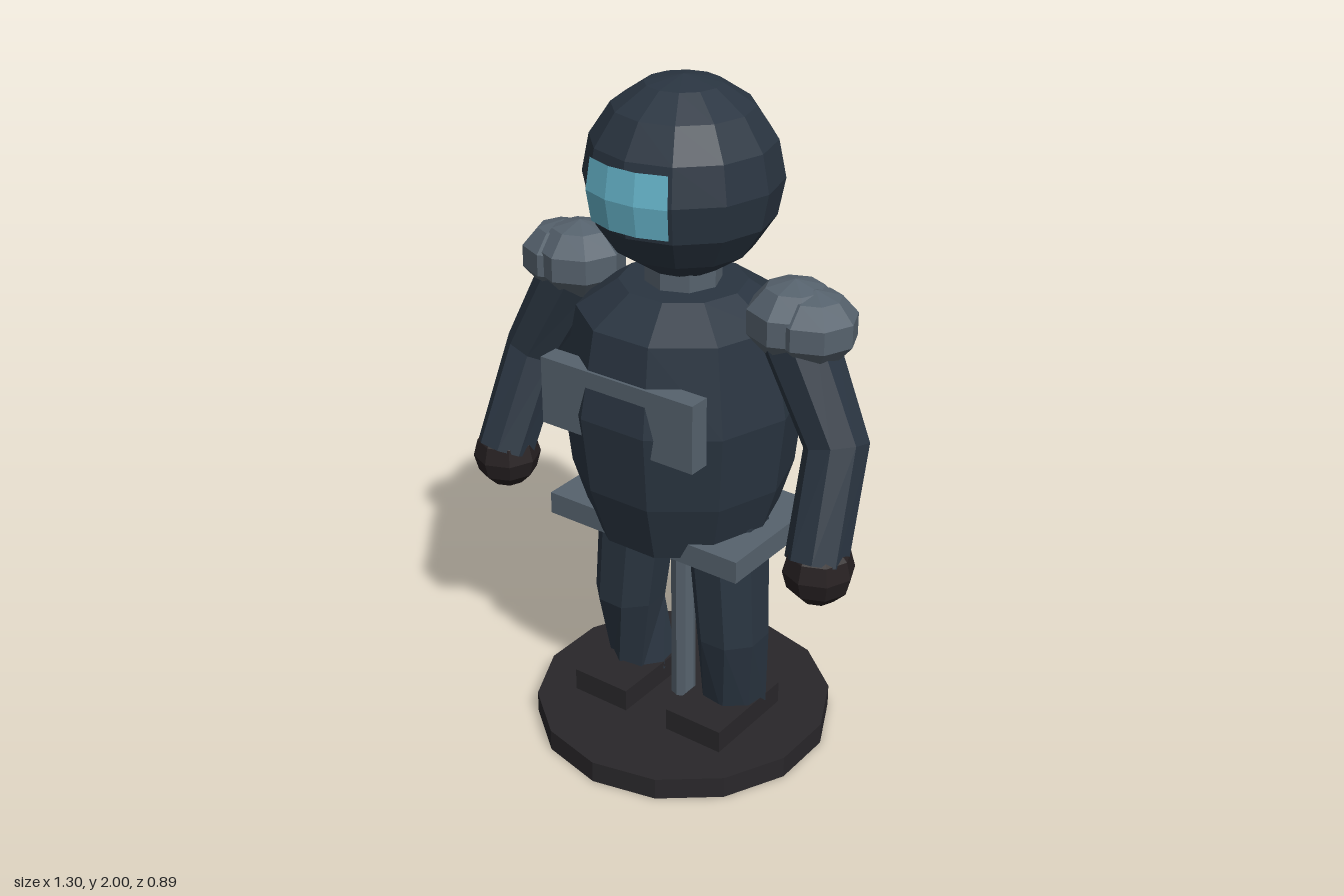
import * as THREE from 'three';

const mat = (color) => new THREE.MeshStandardMaterial({ color, flatShading: true });

export function createModel() {
  const model = new THREE.Group();
  const suit = mat(0x2a3541), metal = mat(0x56626d), dark = mat(0x29272a), glove = mat(0x262021);
  const glass = mat(0x66b4ca);
  glass.side = THREE.DoubleSide;

  const add = (name, geometry, material, x, y, z) => {
    const mesh = new THREE.Mesh(geometry, material);
    mesh.name = name;
    mesh.position.set(x, y, z);
    model.add(mesh);
    return mesh;
  };

  // Faceted limb: rings [x, y, z, radius, twist] listed from top to bottom, capped at both ends
  const limb = (name, side, rings, sides = 8) => {
    const centres = rings.map(([x, y, z]) => new THREE.Vector3(x * side, y, z));
    const positions = [], index = [], up = new THREE.Vector3(0, 1, 0);
    rings.forEach(([, , , r, twist], i) => {
      const before = centres[Math.max(i - 1, 0)];
      const after = centres[Math.min(i + 1, rings.length - 1)];
      const turn = new THREE.Quaternion().setFromUnitVectors(up, before.clone().sub(after).normalize());
      for (let j = 0; j < sides; j++) {
        const a = (j + 0.5) / sides * Math.PI * 2 + twist * side;
        const p = new THREE.Vector3(Math.sin(a) * r, 0, Math.cos(a) * r).applyQuaternion(turn).add(centres[i]);
        positions.push(p.x, p.y, p.z);
        if (i < rings.length - 1) {
          const k = i * sides, n = (j + 1) % sides;
          index.push(k + j, k + sides + j, k + n, k + n, k + sides + j, k + sides + n);
        }
      }
    });
    const end = (rings.length - 1) * sides;
    for (let j = 1; j < sides - 1; j++) index.push(0, j, j + 1, end, end + j + 1, end + j);
    const geometry = new THREE.BufferGeometry();
    geometry.setAttribute('position', new THREE.Float32BufferAttribute(positions, 3));
    geometry.setIndex(index);
    geometry.computeVertexNormals();
    add(name, geometry, suit, 0, 0, 0);
  };

  // Display stand
  add('base', new THREE.CylinderGeometry(0.445, 0.445, 0.067, 14), dark, 0, 0.0335, 0);
  add('supportRod', new THREE.CylinderGeometry(0.037, 0.037, 0.68, 8), metal, 0, 0.4, 0);

  // Ten-sided torso with flat front and back
  const profile = [[0, 0.69], [0.26, 0.69], [0.317, 0.87], [0.342, 1.1], [0.295, 1.35], [0.178, 1.43], [0, 1.43]]
    .map(([r, y]) => new THREE.Vector2(r, y));
  add('torso', new THREE.LatheGeometry(profile, 10, Math.PI / 2), suit, 0, 0, 0);
  add('belt', new THREE.BoxGeometry(0.655, 0.067, 0.41), metal, 0, 0.71, 0);
  add('chestPlate', new THREE.BoxGeometry(0.51, 0.2, 0.064), metal, 0, 1.14, 0.277);

  // Head with a curved visor
  add('neck', new THREE.CylinderGeometry(0.107, 0.107, 0.14, 8), metal, 0, 1.46, 0);
  add('helmet', new THREE.SphereGeometry(0.272, 12, 8), suit, 0, 1.728, 0);
  add('visor', new THREE.SphereGeometry(0.281, 2, 2, Math.PI / 2 - 0.49, 0.98, Math.PI / 2 - 0.315, 0.63),
    glass, 0, 1.728, 0);

  for (const side of [1, -1]) {
    const label = side > 0 ? 'left' : 'right';

    // Shoulder armour: two overlapping faceted domes
    add(label + 'ShoulderPad', new THREE.SphereGeometry(0.135, 8, 5), metal, side * 0.36, 1.405, 0).scale.y = 0.84;
    add(label + 'ShoulderCap', new THREE.SphereGeometry(0.123, 8, 5), metal, side * 0.423, 1.4, 0).scale.y = 0.84;

    // Arm and fist
    limb(label + 'Arm', side, [
      [0.355, 1.4, 0, 0.105, 0],
      [0.52, 1.09, 0.025, 0.09, 0],
      [0.547, 0.8, 0.15, 0.086, 0],
    ]);
    add(label + 'Hand', new THREE.SphereGeometry(0.1, 8, 6), glove, side * 0.55, 0.776, 0.14);

    // Leg with a twisted shin, and foot
    limb(label + 'Leg', side, [
      [0.155, 0.74, 0.002, 0.122, 0],
      [0.188, 0.37, 0.015, 0.108, 0],
      [0.17, 0.11, -0.025, 0.1, 0.65],
    ]);
    add(label + 'Foot', new THREE.BoxGeometry(0.192, 0.075, 0.31), dark, side * 0.171, 0.0995, 0.035);
  }
  return model;
}
